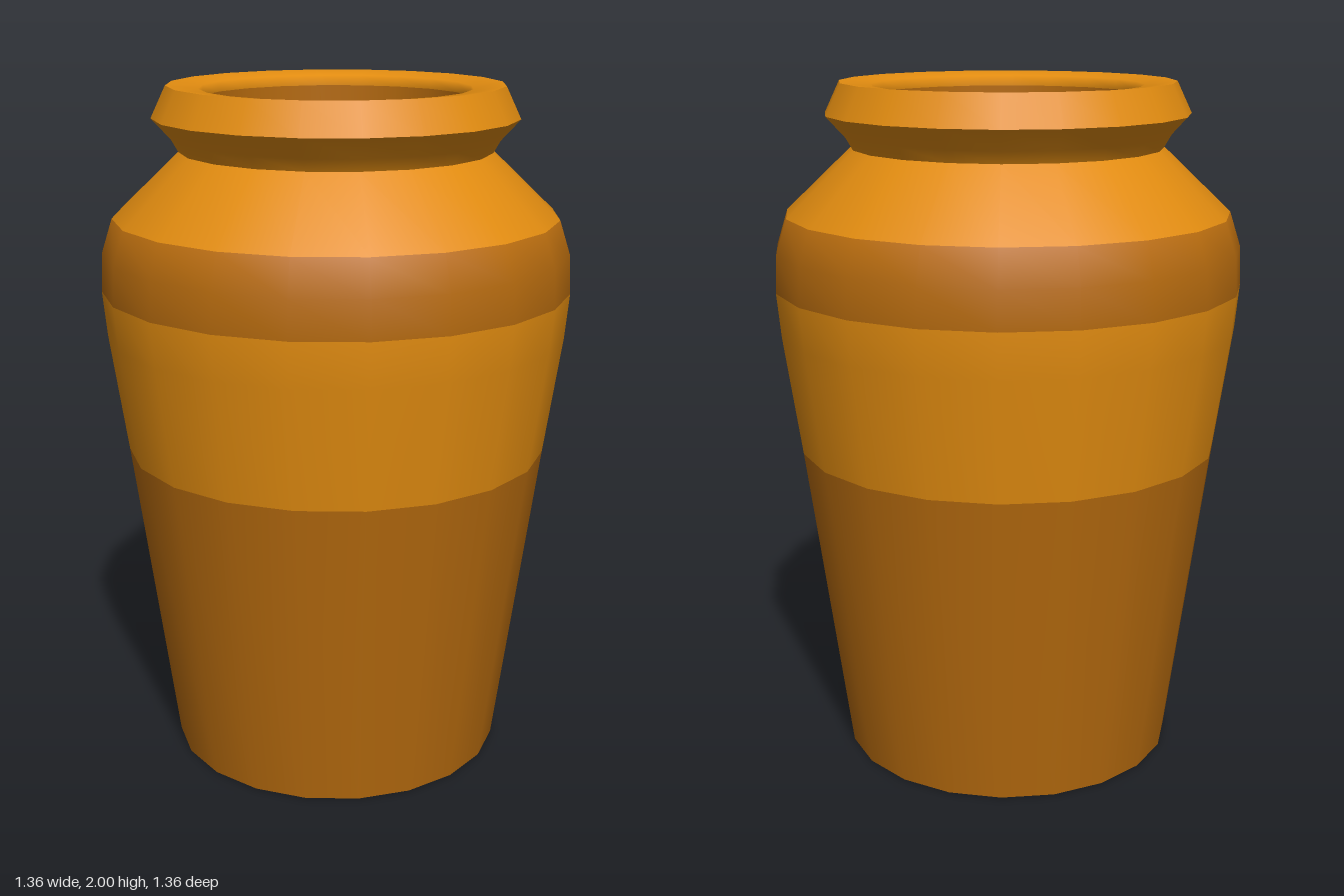
import * as THREE from 'three';

const SIDES = 20;

export function createModel() {
  const gold = new THREE.MeshStandardMaterial({ color: 0xe28c10 });
  gold.name = 'golden glaze';
  const brown = new THREE.MeshStandardMaterial({ color: 0xb56a0e });
  brown.name = 'brown clay';
  const materials = [gold, brown];
  const jar = new THREE.Group();
  jar.name = 'jar';

  // Smooth turned section; rows[j] is the material index between points j and j + 1
  function turned(name, points, rows) {
    const geometry = new THREE.LatheGeometry(points.map(([r, y]) => new THREE.Vector2(r, y)), SIDES);
    for (let i = 0; i < SIDES; i++) {
      rows.forEach((m, j) => geometry.addGroup((i * rows.length + j) * 6, 6, m));
    }
    const mesh = new THREE.Mesh(geometry, materials);
    mesh.name = name;
    jar.add(mesh);
  }

  // Underside
  turned('base', [[0, 0], [0.495, 0]], [1]);

  // Tapered body with bands, up to the shoulder
  turned('body', [
    [0.495, 0], [0.62, 0.94], [0.67, 1.29], [0.682, 1.42],
    [0.677, 1.53], [0.645, 1.63], [0.45, 1.815],
  ], [1, 0, 0, 1, 1, 0]);

  // Flared neck and bevelled collar
  turned('neck', [[0.45, 1.815], [0.47, 1.85], [0.525, 1.91]], [0, 0]);
  turned('collar', [[0.525, 1.91], [0.482, 2]], [0]);

  // Lip rolling into the hollow, with the inner wall and floor
  turned('lipAndInnerWall', [[0.482, 2], [0.39, 1.99], [0.39, 1.96], [0.39, 1]], [0, 0, 1]);
  turned('innerFloor', [[0.39, 1], [0, 1]], [1]);

  return jar;
}
